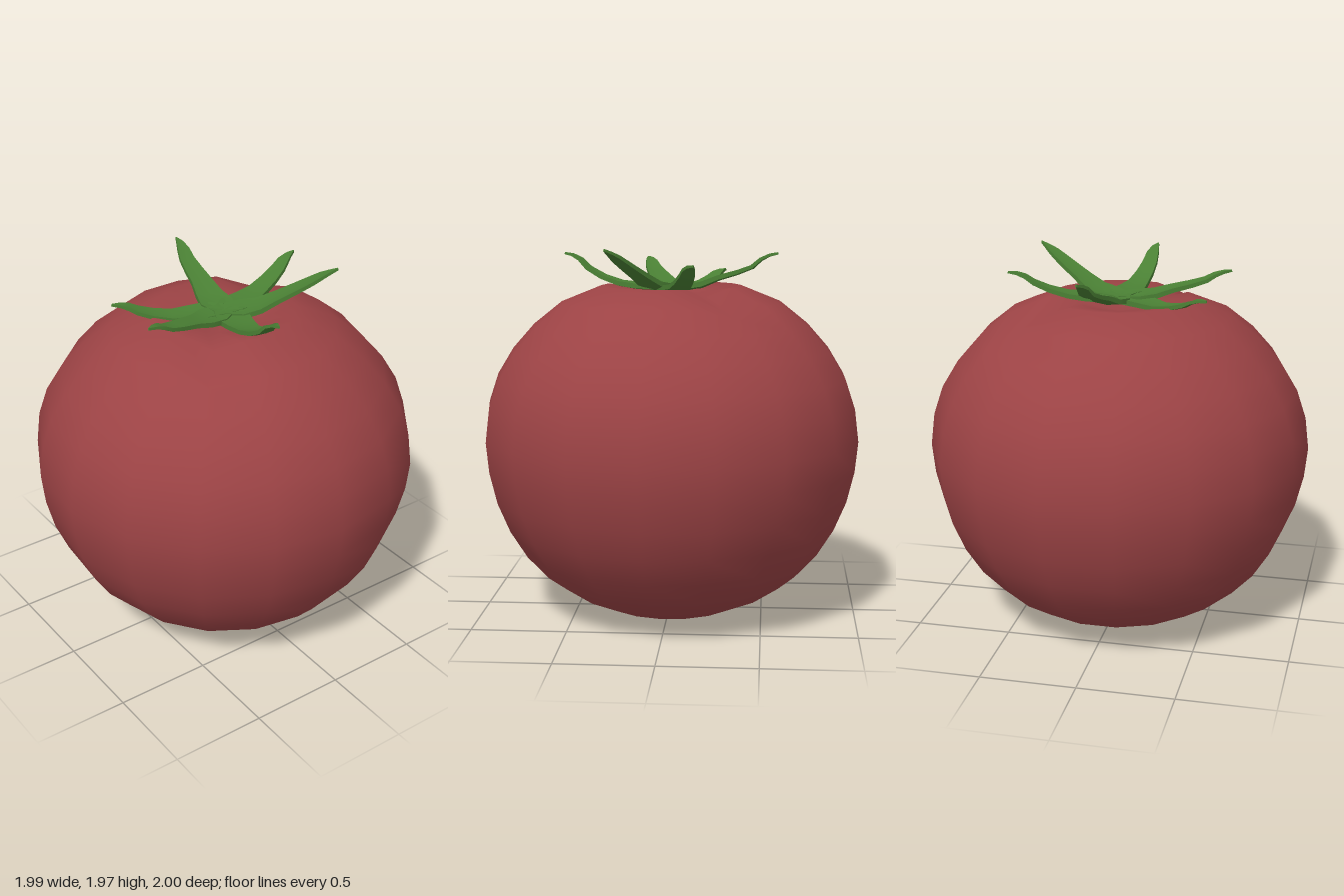
import * as THREE from 'three';
import { mergeVertices } from 'three/addons/utils/BufferGeometryUtils.js';

const RED = new THREE.MeshStandardMaterial({ color: 0x9c4345 });
const GREEN = new THREE.MeshStandardMaterial({ color: 0x4a8034 });

// Fruit: a 17-sided lathe with a dimpled top and two shallow grooves
function makeFruit() {
  const profile = [
    [0, 0], [0.36, 0.035], [0.53, 0.11], [0.68, 0.21], [0.795, 0.335], [0.885, 0.48],
    [0.95, 0.635], [0.99, 0.8], [1.006, 0.96], [0.985, 1.13], [0.935, 1.28],
    [0.85, 1.42], [0.735, 1.55], [0.585, 1.67], [0.37, 1.757], [0.2, 1.725], [0, 1.68],
  ].map(([r, y]) => new THREE.Vector2(r, y));
  let geo = new THREE.LatheGeometry(profile, 17, Math.PI / 2);
  geo.deleteAttribute('uv');
  geo.deleteAttribute('normal');
  geo = mergeVertices(geo, 1e-4);

  const pos = geo.attributes.position;
  const grooves = [2, 11].map((i) => (i / 17) * Math.PI * 2);
  for (let i = 0; i < pos.count; i++) {
    const x = pos.getX(i), y = pos.getY(i), z = pos.getZ(i);
    const r = Math.hypot(x, z);
    if (y < 1.6 || r < 0.3) continue;
    const a = Math.atan2(z, x);
    if (grooves.some((g) => Math.cos(a - g) > 0.99)) pos.setY(i, y - 0.05);
  }
  geo.computeVertexNormals();
  const fruit = new THREE.Mesh(geo, RED);
  fruit.name = 'fruit';
  fruit.position.x = -0.0086;
  return fruit;
}

// Sepal: a thin box bent along a rising curve and tapered to a point
function makeSepal([tipX, tipZ, heights]) {
  const length = Math.hypot(tipX, tipZ);
  const steps = [0, 0.25, 0.5, 0.75, 0.88, 1];
  const curve = new THREE.CatmullRomCurve3(
    heights.map((y, i) => new THREE.Vector3(steps[i] * length, y, 0)));
  const widths = [0.06, 0.088, 0.072, 0.056, 0.048, 0.04, 0.032, 0.018, 0.003];
  const segments = widths.length - 1;
  const geo = new THREE.BoxGeometry(1, 0.03, 2, segments, 1, 2);
  const pos = geo.attributes.position;
  const p = new THREE.Vector3(), t = new THREE.Vector3();
  for (let i = 0; i < pos.count; i++) {
    const u = pos.getX(i) + 0.5, side = pos.getZ(i);
    const half = widths[Math.round(u * segments)];
    const thick = pos.getY(i) * (1 - 0.6 * u);
    curve.getPoint(u, p);
    curve.getTangent(u, t);
    pos.setXYZ(i,
      p.x - t.y * thick,
      p.y + t.x * thick + Math.abs(side) * half * 0.12,
      side * half);
  }
  geo.computeVertexNormals();
  const sepal = new THREE.Mesh(geo, GREEN);
  sepal.name = 'sepal';
  sepal.rotation.y = -Math.atan2(tipZ, tipX);
  return sepal;
}

export function createModel() {
  const model = new THREE.Group();
  model.name = 'tomato';
  model.add(makeFruit());

  // Calyx: tip x, tip z, heights from the centre outwards
  const calyx = new THREE.Group();
  calyx.name = 'calyx';
  [
    [-0.57, -0.09, [1.745, 1.75, 1.805, 1.85, 1.91, 1.93]],
    [-0.15, -0.56, [1.745, 1.745, 1.765, 1.82, 1.87, 1.885]],
    [0.29, -0.5, [1.745, 1.755, 1.82, 1.89, 1.93, 1.96]],
    [0.57, 0.09, [1.745, 1.745, 1.765, 1.83, 1.9, 1.92]],
    [0.16, 0.56, [1.745, 1.75, 1.79, 1.825, 1.865, 1.88]],
    [-0.28, 0.5, [1.745, 1.74, 1.735, 1.77, 1.805, 1.815]],
  ].forEach((spec) => calyx.add(makeSepal(spec)));
  model.add(calyx);
  return model;
}
